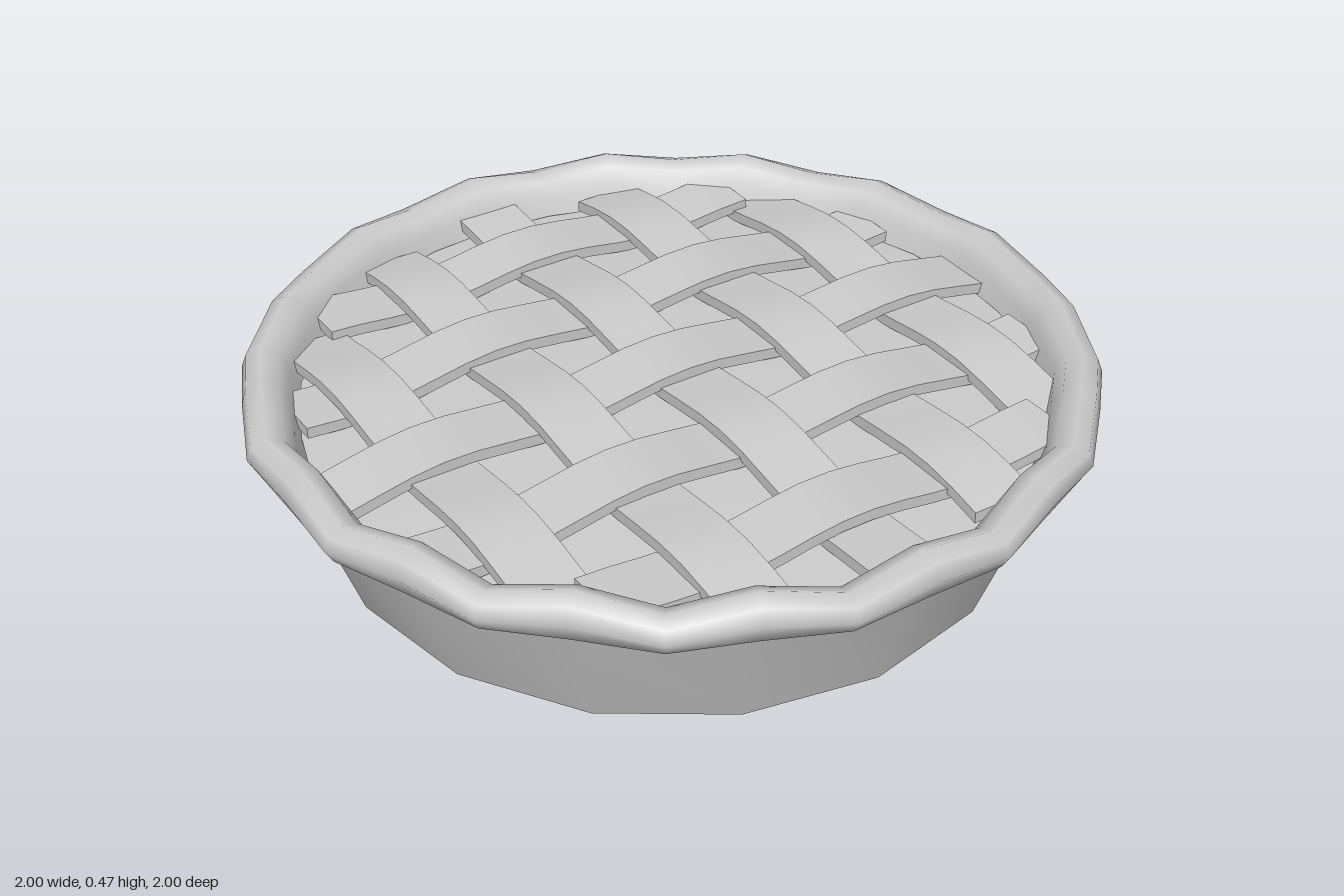
import * as THREE from 'three';
import { toCreasedNormals } from 'three/addons/utils/BufferGeometryUtils.js';

const mat = new THREE.MeshStandardMaterial({ color: 0xcccccc });
const openMat = new THREE.MeshStandardMaterial({ color: 0xcccccc, side: THREE.DoubleSide });
const points = list => list.map(([r, y]) => new THREE.Vector2(r, y));

function add(group, name, geometry, material = mat) {
  const mesh = new THREE.Mesh(geometry, material);
  mesh.name = name;
  group.add(mesh);
  return mesh;
}

// Gentle dome shared by the filling and the lattice
const dome = r => 0.035 * Math.max(0, 1 - (r / 0.9) ** 2);

// Crimped rim: 16 waves, two segments per wave
function rimGeometry() {
  const g = new THREE.LatheGeometry(points([
    [0.925, 0.333], [0.98, 0.358], [1.0, 0.405], [0.988, 0.447], [0.952, 0.465],
    [0.912, 0.447], [0.888, 0.4], [0.865, 0.31],
  ]), 32);
  const p = g.attributes.position;
  for (let i = 0; i < p.count; i++) {
    const x = p.getX(i), y = p.getY(i), z = p.getZ(i);
    const valley = (1 - Math.cos(16 * Math.atan2(x, z))) / 2;
    const lift = THREE.MathUtils.clamp((y - 0.333) / 0.13, 0, 1);
    const r = Math.hypot(x, z);
    const s = (r + 0.016 * valley) / r;
    p.setXYZ(i, x * s, y - 0.035 * valley * lift, z * s);
  }
  return toCreasedNormals(g, 1.2);
}

// One woven strip running along x, offset sideways along z
const PITCH = 0.325, WIDTH = 0.163, THICK = 0.028;
function stripGeometry(offset, phase) {
  const length = 2 * Math.sqrt(0.89 ** 2 - offset ** 2);
  const g = new THREE.BoxGeometry(length, THICK, WIDTH, Math.round(length / PITCH * 4), 1, 1);
  g.translate(0, 0, offset);
  const p = g.attributes.position;
  for (let i = 0; i < p.count; i++) {
    const x = p.getX(i);
    const weave = 0.016 * phase * Math.cos(Math.PI * x / PITCH);
    p.setY(i, p.getY(i) + 0.366 + dome(Math.hypot(x, offset)) + weave);
  }
  return toCreasedNormals(g, 0.7);
}

export function createModel() {
  const pie = new THREE.Group();
  pie.name = 'pie';

  // Tapered crust with a small bevel at the base
  const crust = new THREE.LatheGeometry(points([[0, 0], [0.785, 0], [0.832, 0.03], [0.942, 0.345]]), 16);
  add(pie, 'crustBase', toCreasedNormals(crust, 0.6), openMat);
  add(pie, 'crimpedRim', rimGeometry(), openMat);

  // Filling
  const profile = [0.88, 0.66, 0.44, 0.22, 0].map(r => [r, 0.338 + dome(r)]);
  add(pie, 'filling', new THREE.LatheGeometry(points(profile), 32), openMat);

  // Two diagonal sets of strips, woven over and under
  const lattice = new THREE.Group();
  lattice.name = 'lattice';
  pie.add(lattice);
  for (const set of [1, -1]) {
    for (let i = -2; i <= 2; i++) {
      const phase = set * (i % 2 ? -1 : 1);
      const strip = add(lattice, 'latticeStrip', stripGeometry(i * PITCH, phase));
      strip.rotation.y = set * Math.PI / 4;
    }
  }
  return pie;
}
